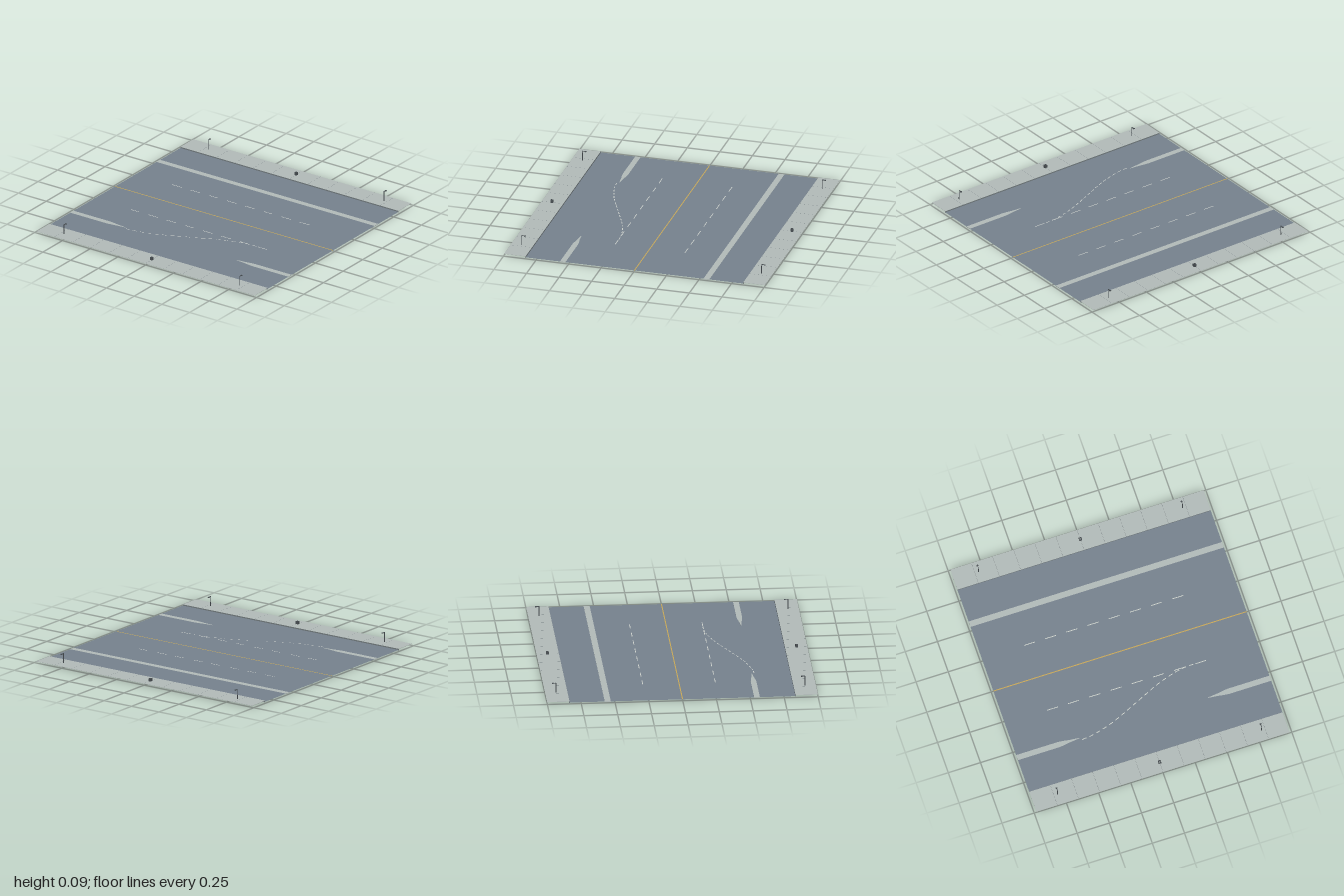
import * as THREE from 'three';

const mat = (name, color, side = THREE.FrontSide) => {
  const m = new THREE.MeshStandardMaterial({ color, side });
  m.name = name;
  return m;
};

export function createModel() {
  const model = new THREE.Group();
  model.name = 'roadSection';

  const asphalt = mat('asphalt', 0x77838f, THREE.DoubleSide);
  const concrete = mat('concrete', 0xb4bdbb, THREE.DoubleSide);
  const curbGrey = mat('curbGrey', 0x747d80);
  const yellow = mat('yellowPaint', 0xcbaa58);
  const white = mat('whitePaint', 0xd2d6d0);
  const metal = mat('darkMetal', 0x4a5054);

  const W = 0.983; // half width along x
  const ROAD = 0.004, WALK = 0.013, PAINT = ROAD + 0.0006;

  const add = (parent, name, geo, material, x = 0, y = 0, z = 0) => {
    const m = new THREE.Mesh(geo, material);
    m.name = name;
    m.position.set(x, y, z);
    parent.add(m);
    return m;
  };
  const box = (parent, name, material, w, h, d, x, y, z) =>
    add(parent, name, new THREE.BoxGeometry(w, h, d), material, x, y, z);
  // Flat upward-facing rectangle
  const flat = (parent, name, material, w, d, x, y, z) =>
    add(parent, name, new THREE.PlaneGeometry(w, d).rotateX(-Math.PI / 2), material, x, y, z);

  // Median outlines, drawn in (x, -z)
  const nose = [[0.66, 0.021], [0.62, 0.017], [0.57, 0.009], [0.53, 0.005], [0.5, 0.002]];
  const island = (s) => {
    const pts = [[W, 0.021], ...nose];
    const loop = [
      ...pts.map(([x, h]) => [x, h]),
      ...pts.slice().reverse().map(([x, h]) => [x, -h]),
    ];
    return loop.map(([x, h]) => new THREE.Vector2(s * x, -0.55 + h));
  };
  const rect = (z0, z1) => [[-W, -z0], [W, -z0], [W, -z1], [-W, -z1]].map(([x, y]) => new THREE.Vector2(x, y));
  const medians = [island(1), island(-1), rect(-0.575, -0.53)];

  // Carriageway: strips around the medians
  const road = new THREE.Group();
  road.name = 'carriageway';
  model.add(road);
  const flatShape = (name, pts, material, y) =>
    add(road, name, new THREE.ShapeGeometry(new THREE.Shape(pts)).rotateX(-Math.PI / 2), material, 0, y, 0);
  flatShape('backLane', rect(-0.835, -0.575), asphalt, ROAD);
  const right = island(1), left = island(-1);
  // Main surface follows the notches left for the two tapered islands
  flatShape('mainLanes', [
    new THREE.Vector2(-W, 0.53), new THREE.Vector2(-W, -0.529),
    ...left.slice(1, -1), new THREE.Vector2(-W, -0.571),
    new THREE.Vector2(-W, -0.835), new THREE.Vector2(W, -0.835),
    new THREE.Vector2(W, -0.571), ...right.slice(1, -1).reverse(),
    new THREE.Vector2(W, -0.529), new THREE.Vector2(W, 0.53),
  ], asphalt, ROAD);

  // Medians reach through the road surface
  medians.forEach((pts) => {
    const geo = new THREE.ExtrudeGeometry(new THREE.Shape(pts), { depth: 0.005, bevelEnabled: false });
    add(model, 'median', geo.rotateX(-Math.PI / 2), concrete);
  });

  // Centre line and lane dashes
  flat(model, 'centreLine', yellow, 2 * W, 0.008, 0, PAINT, 0);
  for (const z of [-0.268, 0.268])
    for (let i = 0; i < 8; i++)
      flat(model, 'laneDash', white, 0.085, 0.006, -0.614 + i * 0.1645, PAINT, z);

  // Short dashes along the merging path
  const path = new THREE.CatmullRomCurve3([
    [-0.49, 0.568], [-0.41, 0.56], [-0.24, 0.515], [0, 0.412], [0.2, 0.325], [0.38, 0.274], [0.5, 0.266],
  ].map(([x, z]) => new THREE.Vector3(x, PAINT + 0.0003, z)));
  const N = 18;
  for (let i = 0; i < N; i++) {
    const u = (i + 0.4) / N, p = path.getPointAt(u), t = path.getTangentAt(u);
    flat(model, 'mergeDash', white, 0.034, 0.006, p.x, p.y, p.z).rotation.y = Math.atan2(-t.z, t.x);
  }

  // Hollow square bin
  const square = (Type, r) => new Type([[-r, -r], [r, -r], [r, r], [-r, r]].map(([x, y]) => new THREE.Vector2(x, y)));
  const binShape = square(THREE.Shape, 0.01);
  binShape.holes.push(square(THREE.Path, 0.007));
  const binGeo = new THREE.ExtrudeGeometry(binShape, { depth: 0.021, bevelEnabled: false }).rotateX(-Math.PI / 2);

  for (const s of [-1, 1]) {
    const side = new THREE.Group();
    side.name = s > 0 ? 'frontSidewalk' : 'backSidewalk';
    model.add(side);
    // Slab, curb and paving joints
    box(side, 'sidewalkSlab', concrete, 2 * W, 0.002, 0.165, 0, WALK - 0.001, s * 0.9175);
    box(side, 'curb', curbGrey, 2 * W, WALK - 0.0005, 0.003, 0, (WALK - 0.0005) / 2, s * 0.8355);
    for (let i = -5; i <= 5; i++)
      flat(side, 'pavingJoint', curbGrey, 0.0015, 0.16, i * 0.164, WALK + 0.0004, s * 0.9175);

    add(side, 'bin', binGeo, metal, 0, WALK, s * 0.921);

    // Street lamps, both rows with arms toward the back
    for (const x of [-0.792, 0.792]) {
      const lamp = new THREE.Group();
      lamp.name = 'streetLamp';
      lamp.position.set(x, WALK, s * 0.92);
      side.add(lamp);
      add(lamp, 'lampPost', new THREE.CylinderGeometry(0.0025, 0.003, 0.075, 8), metal, 0, 0.0375, 0);
      box(lamp, 'lampArm', metal, 0.004, 0.004, 0.026, 0, 0.074, -0.012);
      box(lamp, 'lampHead', metal, 0.013, 0.005, 0.009, 0, 0.0725, -0.024);
    }
  }
  return model;
}
